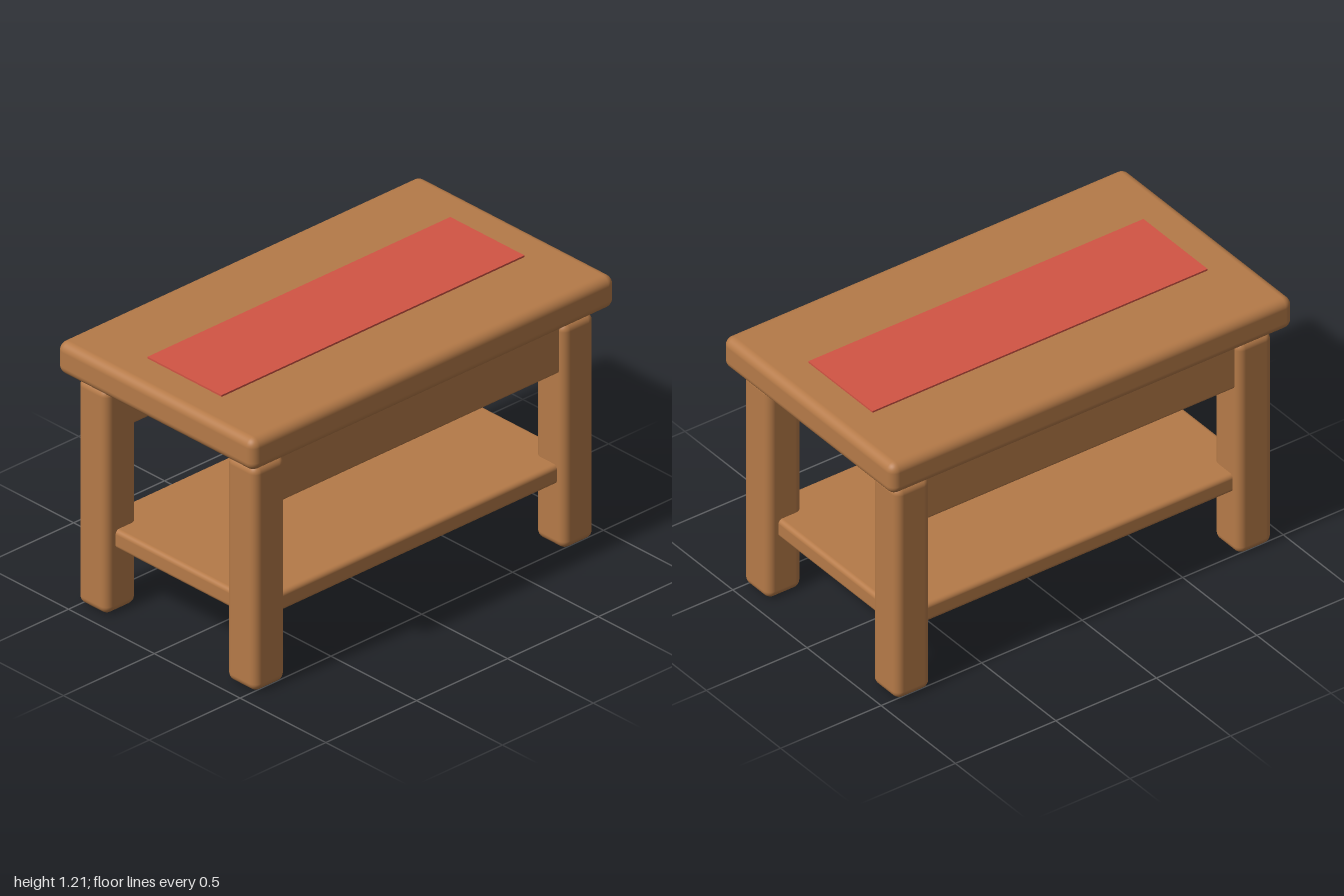
import * as THREE from 'three';
import { RoundedBoxGeometry } from 'three/addons/geometries/RoundedBoxGeometry.js';

export function createModel() {
  const wood = new THREE.MeshStandardMaterial({ color: 0xb57a48 });
  wood.name = 'wood';
  const cloth = new THREE.MeshStandardMaterial({ color: 0xd25444 });
  cloth.name = 'redCloth';

  const table = new THREE.Group();
  table.name = 'table';

  const add = (name, geometry, material, x, y, z) => {
    const mesh = new THREE.Mesh(geometry, material);
    mesh.name = name;
    mesh.position.set(x, y, z);
    table.add(mesh);
  };

  // Wooden board with rounded edges, placed by its bottom and top heights
  const board = (name, width, bottom, top, depth, radius, x = 0, z = 0) =>
    add(name, new RoundedBoxGeometry(width, top - bottom, depth, 4, radius), wood, x, (bottom + top) / 2, z);

  // Thick top and the low shelf that runs into the legs
  board('tableTop', 2, 1.055, 1.202, 1.148, 0.04);
  board('shelf', 1.77, 0.293, 0.38, 0.96, 0.02);

  // Front and back aprons, each with a pair of legs
  for (const [end, sz] of [['front', 1], ['back', -1]]) {
    board(end + 'Apron', 1.71, 0.805, 1.07, 0.112, 0.014, 0, sz * 0.434);
    for (const [side, sx] of [['Left', 1], ['Right', -1]]) {
      board(end + side + 'Leg', 0.173, 0, 1.033, 0.173, 0.036, sx * 0.85, sz * 0.434);
    }
  }

  // Thin cloth runner lying on the top
  add('runner', new THREE.BoxGeometry(1.666, 0.009, 0.432), cloth, 0, 1.2055, 0);

  return table;
}
